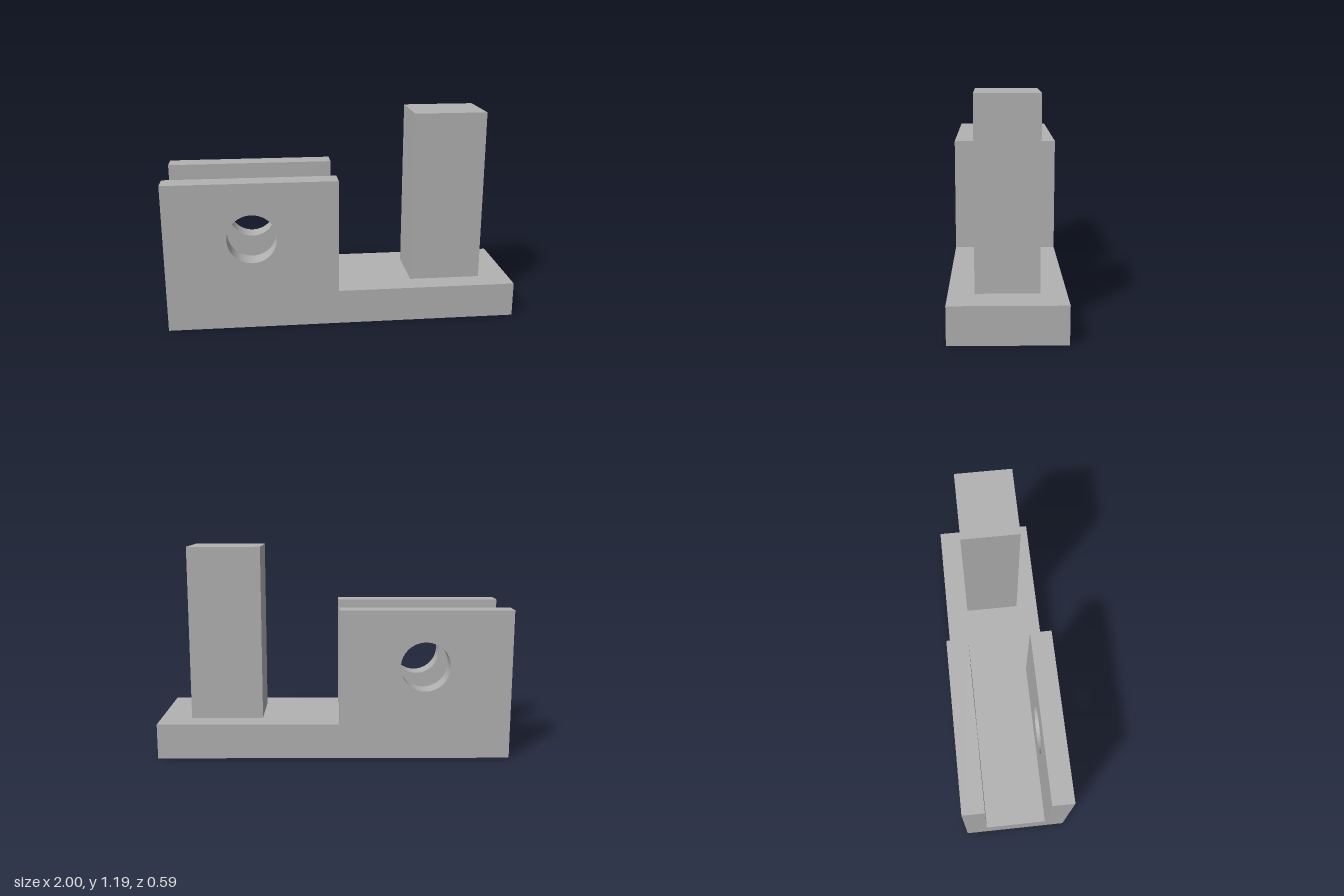
import * as THREE from 'three';

export function createModel() {
  const model = new THREE.Group();
  const grey = new THREE.MeshStandardMaterial({ color: 0xb2b2b2 });
  grey.name = 'plain grey';

  const add = (name, geometry, x, y, z) => {
    const mesh = new THREE.Mesh(geometry, grey);
    mesh.name = name;
    mesh.position.set(x, y, z);
    model.add(mesh);
  };

  const depth = 0.594, baseHeight = 0.2;

  // Flat base bar
  add('base', new THREE.BoxGeometry(2, baseHeight, depth), 0, baseHeight / 2, 0);

  // Square post standing near the left end
  const postHeight = 0.99;
  add('post', new THREE.BoxGeometry(0.413, postHeight, 0.327), 0.617, baseHeight + postHeight / 2, 0);

  // Two parallel cheek plates with a round cross hole
  const plate = new THREE.Shape();
  plate.moveTo(-1, baseHeight);
  plate.lineTo(-0.032, baseHeight);
  plate.lineTo(-0.032, 0.85);
  plate.lineTo(-1, 0.85);
  plate.closePath();
  const hole = new THREE.Path();
  hole.absarc(-0.515, 0.53, 0.14, 0, Math.PI * 2, true);
  plate.holes.push(hole);

  const thickness = 0.122;
  const cheek = new THREE.ExtrudeGeometry(plate, { depth: thickness, bevelEnabled: false, curveSegments: 48 });
  add('frontCheek', cheek, 0, 0, depth / 2 - thickness);
  add('backCheek', cheek, 0, 0, -depth / 2);

  return model;
}
